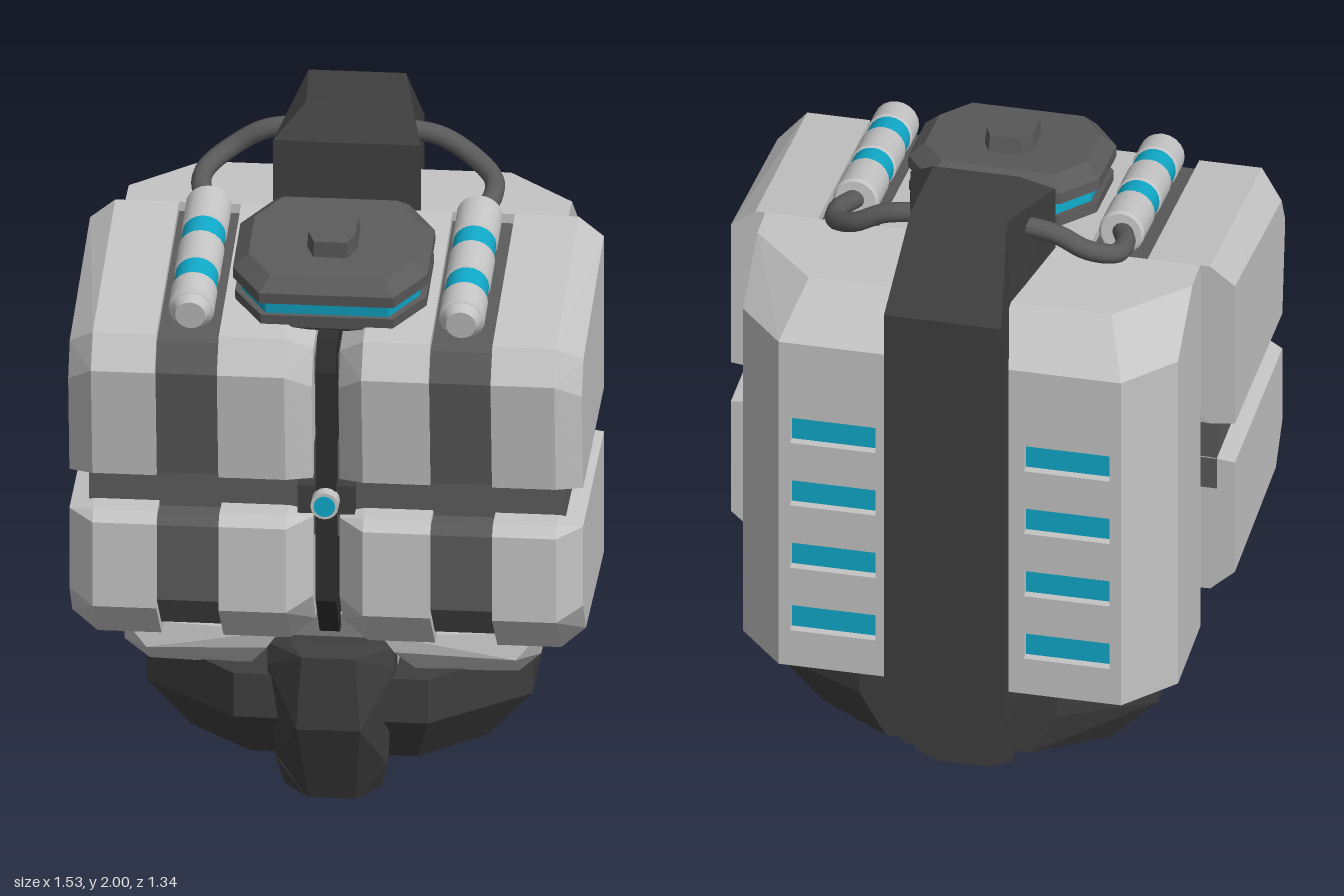
import * as THREE from 'three';
import { ConvexGeometry } from 'three/addons/geometries/ConvexGeometry.js';

const paint = (name, color) => Object.assign(new THREE.MeshStandardMaterial({ color }), { name });

export function createModel() {
  const model = new THREE.Group();
  model.name = 'armouredTorso';
  const light = paint('lightGrey', 0xc4c4c4);
  const mid = paint('midGrey', 0x5a5a5a);
  const dark = paint('darkGrey', 0x3e3e3e);
  const black = paint('nearBlack', 0x2e2e2e);
  const cyan = paint('cyanGlow', 0x10a8c8);

  const add = (name, geometry, material, parent = model) => {
    const mesh = new THREE.Mesh(geometry, material);
    mesh.name = name;
    parent.add(mesh);
    return mesh;
  };
  // convex solid from [x, y, z] points
  const hull = (pts) => new ConvexGeometry(pts.map((p) => new THREE.Vector3(...p)));
  // same, with every point mirrored across x = 0
  const symHull = (pts) => hull(pts.flatMap(([x, y, z]) => (x ? [[x, y, z], [-x, y, z]] : [[x, y, z]])));
  const box = (name, w, h, d, x, y, z, material) =>
    add(name, new THREE.BoxGeometry(w, h, d), material).position.set(x, y, z);

  // ---- back block: chamfered shell, its rear face replaced by a slotted plate
  const shell = symHull([
    [0.66, 0.41, -0.11], [0.66, 1.7, -0.11], [0.66, 0.41, -0.42], [0.52, 0.41, -0.57],
    [0.66, 1.7, -0.22], [0.46, 1.7, -0.42], [0.66, 1.56, -0.42], [0.52, 1.56, -0.57],
  ]).toNonIndexed();
  const pos = shell.attributes.position, nor = shell.attributes.normal;
  const keepP = [], keepN = [];
  for (let i = 0; i < pos.count; i++) {
    if (nor.getZ(i) < -0.99) continue;
    keepP.push(pos.getX(i), pos.getY(i), pos.getZ(i));
    keepN.push(nor.getX(i), nor.getY(i), nor.getZ(i));
  }
  const openShell = new THREE.BufferGeometry();
  openShell.setAttribute('position', new THREE.Float32BufferAttribute(keepP, 3));
  openShell.setAttribute('normal', new THREE.Float32BufferAttribute(keepN, 3));
  add('backBlock', openShell, light);

  const rect = (T, x0, y0, x1, y1) => {
    const p = new T();
    p.moveTo(x0, y0).lineTo(x1, y0).lineTo(x1, y1).lineTo(x0, y1).closePath();
    return p;
  };
  const rear = rect(THREE.Shape, -0.52, 0.41, 0.52, 1.56);
  for (const s of [-1, 1]) {
    for (let i = 0; i < 4; i++) {
      const y = 0.58 + i * 0.223;
      rear.holes.push(rect(THREE.Path, s * 0.355 - 0.13, y - 0.045, s * 0.355 + 0.13, y + 0.045));
      box('backVent', 0.27, 0.1, 0.008, s * 0.355, y, -0.54, cyan);
    }
  }
  add('backPlate', new THREE.ExtrudeGeometry(rear, { depth: 0.04, bevelEnabled: false }), light)
    .position.z = -0.57;

  // ---- spine strap and the hood over the neck
  add('spineHood', symHull([
    [0.22, 1.6, -0.11], [0.22, 1.91, -0.11], [0.13, 2, -0.2],
    [0.145, 2, -0.44], [0.15, 1.6, -0.44],
  ]), dark);
  add('spineStrap', symHull([
    [0.145, 2, -0.44], [0.178, 1.68, -0.58], [0.178, 1.77, -0.67], [0.15, 1.6, -0.44],
    [0.178, 0.32, -0.42], [0.178, 0.32, -0.67], [0.11, 0.25, -0.42], [0.11, 0.25, -0.67],
  ]), dark);

  // ---- chest plates: side profiles in [z, y], full size and drawn in for chamfers
  const upper = [[-0.11, 1.14], [-0.11, 1.7], [0.61, 1.58], [0.67, 1.48], [0.62, 1.13]];
  const upperIn = [[-0.11, 1.15], [-0.11, 1.64], [0.54, 1.52], [0.59, 1.42], [0.55, 1.11]];
  const upperStrip = [[-0.11, 1.14], [-0.11, 1.67], [0.6, 1.555], [0.645, 1.47], [0.6, 1.13]];
  const lower = [[-0.11, 1.02], [0.59, 1], [0.62, 0.97], [0.62, 0.7], [0.45, 0.55], [-0.11, 0.55]];
  const lowerIn = [[-0.11, 1.01], [0.55, 0.985], [0.55, 0.73], [0.46, 0.62], [-0.11, 0.62]];
  const lowerStrip = [[-0.11, 1], [0.58, 0.985], [0.6, 0.96], [0.6, 0.72], [0.46, 0.59], [-0.11, 0.59]];
  const at = (profile, x) => profile.map(([z, y]) => [x, y, z]);

  for (const s of [-1, 1]) {
    const side = new THREE.Group();
    side.name = s > 0 ? 'leftChest' : 'rightChest';
    model.add(side);
    for (const [label, full, inset, strip] of [
      ['upper', upper, upperIn, upperStrip], ['lower', lower, lowerIn, lowerStrip],
    ]) {
      add(label + 'OuterPlate', hull([
        ...at(full, s * 0.5), ...at(full, s * 0.69), ...at(inset, s * 0.765)]), light, side);
      add(label + 'InnerPlate', hull([
        ...at(full, s * 0.315), ...at(full, s * 0.115), ...at(inset, s * 0.04)]), light, side);
      add(label + 'Strip', hull([...at(strip, s * 0.3), ...at(strip, s * 0.51)]), mid, side);
    }
    // abdomen block under the plates
    add('abdomenBlock', hull([
      [0.15, 0.56, -0.11], [0.62, 0.56, -0.11], [0.15, 0.56, 0.43], [0.62, 0.56, 0.38],
      [0.62, 0.48, -0.11], [0.62, 0.48, 0.34], [0.19, 0.5, 0.42], [0.55, 0.48, 0.4],
      [0.25, 0.4, -0.11], [0.55, 0.4, -0.11], [0.25, 0.4, 0.31], [0.55, 0.4, 0.29],
    ].map(([x, y, z]) => [s * x, y, z])), light, side);

    // shoulder canister with glowing bands, laid along the sloping top
    const can = new THREE.Group();
    can.name = 'canister';
    can.position.set(s * 0.403, 1.73, -0.035);
    can.rotation.x = Math.PI / 2 + 0.165;
    side.add(can);
    const cuts = [0, 0.165, 0.245, 0.395, 0.475, 0.585];
    for (let i = 0; i < 5; i++) {
      const len = cuts[i + 1] - cuts[i], glow = i % 2 === 1;
      const r = glow ? 0.064 : 0.069, b = glow ? 0 : 0.008;
      const profile = [[0, 0], [r - b, 0], [r, b], [r, len - b], [r - b, len], [0, len]];
      const pts = profile.flatMap(([px, py], k) =>
        k && k < 5 ? [new THREE.Vector2(px, py), new THREE.Vector2(px, py)] : [new THREE.Vector2(px, py)]);
      add(glow ? 'canisterBand' : 'canisterBody', new THREE.LatheGeometry(pts, 20), glow ? cyan : light, can)
        .position.y = cuts[i];
    }
    add('canisterCap', new THREE.CylinderGeometry(0.045, 0.06, 0.03, 20), light, can).position.y = 0.6;

    // hose from the canister to the hood
    const path = new THREE.CatmullRomCurve3([
      [0.403, 1.73, -0.02], [0.435, 1.755, -0.12], [0.425, 1.775, -0.21],
      [0.35, 1.82, -0.275], [0.26, 1.87, -0.285], [0.14, 1.89, -0.285],
    ].map(([x, y, z]) => new THREE.Vector3(s * x, y, z)));
    add('hose', new THREE.TubeGeometry(path, 28, 0.03, 12), mid, side);
  }

  // ---- dark core showing in the groove and the centre slit
  box('chestGroove', 1.42, 0.3, 0.62, 0, 1.06, 0.2, mid);
  add('centreSlit', symHull([
    [0.03, 0.57, -0.11], [0.03, 0.57, 0.44], [0.03, 0.72, 0.565], [0.03, 1.46, 0.57],
    [0.03, 1.55, 0.53], [0.03, 1.64, -0.11],
  ]), black);
  add('centreCore', symHull([
    [0.1, 0.6, -0.11], [0.1, 0.6, 0.4], [0.1, 1.48, 0.5], [0.1, 1.6, -0.11],
  ]), mid);
  add('bellyBlock', symHull([
    [0.19, 0.62, -0.11], [0.19, 0.62, 0.42], [0.19, 0.41, -0.11], [0.19, 0.41, 0.3],
  ]), light);

  // ---- chest light
  box('lightBracket', 0.17, 0.09, 0.06, 0, 1.045, 0.53, dark);
  for (const [name, r, z, m] of [['lightRing', 0.042, 0.58, light], ['lightLens', 0.032, 0.586, cyan]]) {
    const disc = add(name, new THREE.CylinderGeometry(r, r, 0.06, 16), m);
    disc.rotation.x = Math.PI / 2;
    disc.position.set(0, 1.045, z);
  }

  // ---- tilted octagonal neck disc
  const neck = new THREE.Group();
  neck.name = 'neckDisc';
  neck.position.set(0, 1.7, 0.295);
  neck.rotation.x = 0.165;
  model.add(neck);
  const octagon = (w, d, y) => [[w, d * 0.47], [w * 0.69, d]].flatMap(([x, z]) =>
    [[x, y, z], [-x, y, z], [x, y, -z], [-x, y, -z]]);
  const slab = (name, material, ...rings) =>
    add(name, hull(rings.flatMap(([w, d, y]) => octagon(w, d, y))), material, neck);
  slab('discBase', mid, [0.21, 0.19, -0.12], [0.285, 0.25, -0.075], [0.285, 0.25, -0.035]);
  slab('discGlow', cyan, [0.265, 0.238, -0.04], [0.265, 0.238, 0.02]);
  slab('discRim', mid, [0.29, 0.258, 0.01], [0.29, 0.258, 0.045], [0.245, 0.215, 0.085]);
  slab('discKnob', mid, [0.075, 0.11, 0.08], [0.07, 0.105, 0.135]);

  // ---- pelvis, keel and front guard
  add('pelvis', symHull([
    [0.29, 0.41, 0.41], [0.575, 0.41, 0.13], [0.575, 0.41, -0.31], [0.3, 0.41, -0.45],
    [0.29, 0.27, 0.41], [0.575, 0.26, 0.13], [0.575, 0.26, -0.31], [0.3, 0.26, -0.45],
    [0.25, 0.12, 0.31], [0.44, 0.12, 0.13], [0.44, 0.12, -0.31], [0.22, 0.12, -0.45],
  ]), dark);
  add('keel', symHull([
    [0.165, 0.13, 0.38], [0.165, 0.13, -0.375], [0.145, 0.03, 0.33], [0.145, 0.03, -0.375],
    [0.08, 0, 0.36], [0.08, 0, -0.375],
  ]), dark);
  add('frontGuard', symHull([
    [0.08, 0.5, 0.485], [0.12, 0.52, 0.42], [0.19, 0.5, 0.38], [0.19, 0.44, 0.4], [0.19, 0.44, 0.2],
    [0.12, 0.52, 0.2], [0.095, 0.27, 0.49], [0.14, 0.27, 0.41], [0.165, 0.12, 0.37],
    [0.07, 0, 0.365], [0.14, 0.03, 0.33], [0.1, 0.05, 0.2],
  ]), dark);

  return model;
}
